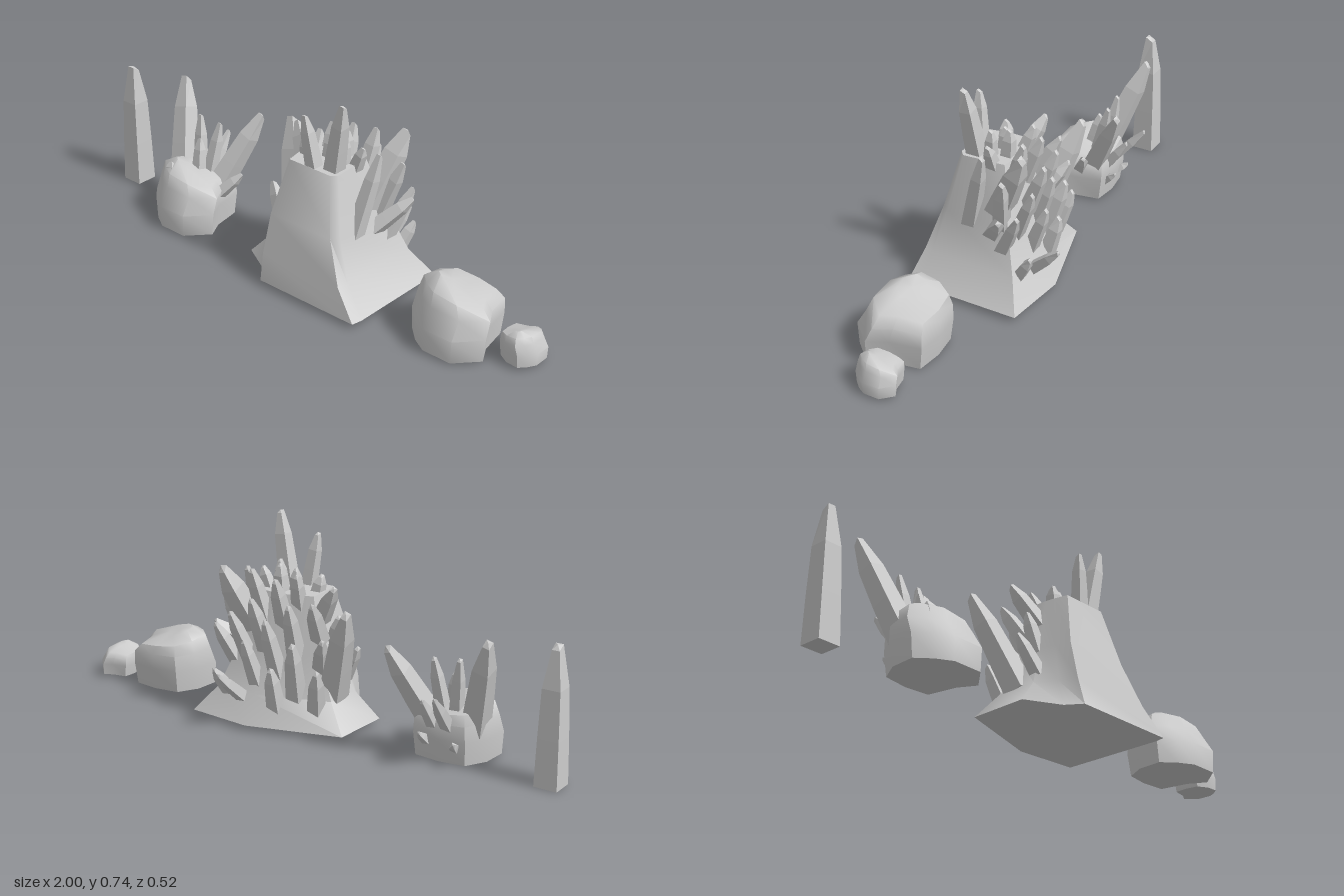
import * as THREE from 'three';
import { toCreasedNormals } from 'three/addons/utils/BufferGeometryUtils.js';

const crystalMat = new THREE.MeshStandardMaterial({ color: 0xcccccc, flatShading: true });
const rockMat = new THREE.MeshStandardMaterial({ color: 0xcccccc });

// Closed skin over rings of [x, y, z] points, listed clockwise from above, bottom ring first
function loft(name, rings, crease) {
  const n = rings[0].length, verts = rings.flat(2), index = [];
  rings.slice(1).forEach((_, r) => {
    for (let i = 0; i < n; i++) {
      const a = r * n + i, b = r * n + (i + 1) % n;
      index.push(a, a + n, b + n, a, b + n, b);
    }
  });
  const cap = (ring, first, up) => {
    const c = verts.length / 3;
    for (let k = 0; k < 3; k++) verts.push(ring.reduce((s, p) => s + p[k], 0) / n);
    for (let i = 0; i < n; i++) {
      const a = first + i, b = first + (i + 1) % n;
      index.push(c, up ? b : a, up ? a : b);
    }
  };
  cap(rings[0], 0, false);
  cap(rings.at(-1), (rings.length - 1) * n, true);
  const geo = new THREE.BufferGeometry();
  geo.setAttribute('position', new THREE.Float32BufferAttribute(verts, 3));
  geo.setIndex(index);
  const mesh = new THREE.Mesh(toCreasedNormals(geo, crease), rockMat);
  mesh.name = name;
  return mesh;
}

// Four-sided tapering shard from base to tip, with a small slanted end
function crystal(name, [bx, by, bz, tx, ty, tz, w]) {
  const base = new THREE.Vector3(bx, by, bz), dir = new THREE.Vector3(tx, ty, tz).sub(base);
  const len = dir.length();
  const geo = new THREE.CylinderGeometry(1, 1, len, 4, 3).rotateY(Math.PI / 4).translate(0, len / 2, 0);
  const p = geo.attributes.position;
  const widths = [1, 0.91, 0.78, 0.33];
  for (let i = 0; i < p.count; i++) {
    const level = Math.round(p.getY(i) / len * 3);
    const s = widths[level] * w / Math.SQRT2;
    const x = p.getX(i) * s, z = p.getZ(i) * s;
    const y = [0, 0.35, 0.7, 1][level] * len - (level === 3 ? Math.max(0, -z) * 1.2 : 0);
    p.setXYZ(i, x, y, z);
  }
  const mesh = new THREE.Mesh(geo, crystalMat);
  mesh.name = name;
  mesh.position.copy(base);
  mesh.quaternion.setFromUnitVectors(new THREE.Vector3(0, 1, 0), dir.normalize());
  return mesh;
}

function crystalGroup(name, list) {
  const g = new THREE.Group();
  g.name = name;
  list.forEach(c => g.add(crystal('crystal', c)));
  return g;
}

// Boulder: one footprint, narrowed, shifted and tilted level by level
const footprint = [[-0.1, -0.12], [0, -0.135], [0.1, -0.125], [0.12, -0.01], [0.157, 0.06],
  [0.08, 0.145], [-0.04, 0.145], [-0.1, 0.11], [-0.152, 0.06], [-0.145, -0.04]];
function boulder(name) {
  // height, x scale, z scale, x shift, z shift, tilt
  const levels = [[0.005, 0.96, 0.95, 0, 0.005, 0], [0.09, 1, 1, 0, 0, 0], [0.15, 0.97, 0.86, 0, -0.018, 0.4],
    [0.19, 0.8, 0.76, -0.01, -0.02, 1], [0.216, 0.35, 0.3, -0.03, -0.01, 1]];
  const rings = levels.map(([y, sx, sz, ox, oz, tilt]) => footprint.map(([x, z]) =>
    [x * sx + ox, y + tilt * (0.09 * z - 0.09 * x), z * sz + oz]));
  return loft(name, rings, 0.85);
}

export function createModel() {
  const model = new THREE.Group();
  model.name = 'crystalRocks';

  // Free-standing shard
  model.add(crystal('singleCrystal', [-0.958, 0, -0.01, -0.958, 0.49, -0.01, 0.085]));

  // Plain boulders
  const large = boulder('largeBoulder');
  large.position.set(0.698, 0, 0.06);
  const small = boulder('smallBoulder');
  small.scale.set(0.51, 0.5, 0.49);
  small.rotation.y = Math.PI / 2;
  small.position.set(0.928, 0.008, 0.008);
  model.add(large, small);

  // Boulder with crystals growing from its back
  const host = boulder('crystalBoulder');
  host.position.set(-0.557, 0, 0.065);
  model.add(host, crystalGroup('boulderCrystals', [
    [-0.65, 0.12, 0.03, -0.755, 0.48, -0.1, 0.078],
    [-0.5, 0.12, 0.0, -0.4, 0.41, -0.15, 0.07],
    [-0.59, 0.12, 0.0, -0.62, 0.38, -0.04, 0.042],
    [-0.54, 0.14, 0.01, -0.525, 0.37, -0.05, 0.042],
    [-0.58, 0.08, 0.0, -0.6, 0.27, -0.17, 0.04],
    [-0.53, 0.08, -0.01, -0.53, 0.24, -0.13, 0.04],
    [-0.56, 0.17, 0.04, -0.575, 0.31, 0.01, 0.04],
    [-0.47, 0.11, 0.04, -0.385, 0.21, -0.02, 0.04],
    [-0.51, 0.05, -0.03, -0.5, 0.11, -0.1, 0.03],
    [-0.61, 0.05, -0.03, -0.63, 0.09, -0.09, 0.03],
    [-0.62, 0.17, 0.12, -0.63, 0.23, 0.11, 0.045],
  ]));

  // Flared mound with a flat top
  const mound = [
    [0.02, [[-0.19, -0.1], [0.16, -0.205], [0.41, -0.185], [0.408, 0.22], [0.4, 0.26], [-0.03, 0.26], [-0.07, 0.2], [-0.2, 0.13]]],
    [0.12, [[-0.11, -0.05], [0.16, -0.145], [0.33, -0.13], [0.33, 0.2], [0.315, 0.237], [-0.037, 0.237], [-0.06, 0.17], [-0.11, 0.1]]],
    [0.27, [[-0.05, -0.03], [0.15, -0.1], [0.275, -0.08], [0.268, 0.172], [0.247, 0.2], [-0.03, 0.2], [-0.04, 0.14], [-0.055, 0.08]]],
    [0.48, [[0, 0], [0.12, -0.04], [0.21, -0.03], [0.222, 0.13], [0.2, 0.15], [0.015, 0.15], [0.005, 0.1], [0, 0.06]]],
  ];
  model.add(loft('mound', mound.map(([y, ring]) => ring.map(([x, z]) => [x, y, z])), 1));

  // Upright crystals on the flat top
  model.add(crystalGroup('topCrystals', [
    [0.175, 0.46, 0.1, 0.23, 0.74, 0.118, 0.056],
    [0.11, 0.46, 0.125, 0.083, 0.67, 0.147, 0.045],
    [0.04, 0.43, 0.07, 0.018, 0.54, 0.075, 0.045],
    [0.1, 0.45, 0.04, 0.1, 0.56, 0.03, 0.04],
    [0.17, 0.45, 0.05, 0.178, 0.58, 0.042, 0.04],
    [0.2, 0.45, 0.02, 0.24, 0.55, 0.02, 0.04],
    [0.14, 0.44, 0, 0.14, 0.58, -0.01, 0.045],
    [0.06, 0.42, 0, 0.04, 0.56, -0.05, 0.045],
  ]));

  // Crystals on the left flank
  model.add(crystalGroup('leftFlankCrystals', [
    [0.255, 0.23, 0.085, 0.3, 0.54, 0.005, 0.05],
    [0.23, 0.31, -0.02, 0.295, 0.575, -0.15, 0.08],
    [0.25, 0.25, -0.04, 0.33, 0.48, -0.09, 0.05],
    [0.265, 0.23, -0.01, 0.37, 0.35, -0.1, 0.05],
    [0.28, 0.18, -0.06, 0.33, 0.36, -0.15, 0.045],
  ]));

  // Crystals on the right flank
  model.add(crystalGroup('rightFlankCrystals', [
    [-0.08, 0.12, 0.01, -0.21, 0.48, -0.11, 0.08],
    [0.0, 0.38, 0.04, -0.1, 0.53, -0.02, 0.055],
    [-0.04, 0.26, 0.06, -0.08, 0.41, 0.04, 0.045],
    [-0.04, 0.21, -0.01, -0.11, 0.36, -0.11, 0.05],
    [-0.07, 0.16, 0.09, -0.15, 0.3, 0.06, 0.045],
    [-0.03, 0.32, 0.0, -0.06, 0.48, -0.1, 0.05],
  ]));

  // Crystals leaning out of the back
  model.add(crystalGroup('backCrystals', [
    [0.18, 0.37, -0.04, 0.2, 0.57, -0.1, 0.05],
    [0.1, 0.35, -0.03, 0.09, 0.55, -0.11, 0.05],
    [0.15, 0.28, -0.08, 0.16, 0.48, -0.16, 0.05],
    [0.04, 0.26, -0.05, 0.02, 0.47, -0.13, 0.05],
    [0.22, 0.22, -0.08, 0.25, 0.42, -0.165, 0.045],
    [0.1, 0.19, -0.08, 0.1, 0.41, -0.16, 0.05],
    [0.17, 0.15, -0.11, 0.18, 0.33, -0.18, 0.045],
    [0.02, 0.12, -0.08, -0.01, 0.34, -0.15, 0.055],
    [0.21, 0.08, -0.12, 0.235, 0.21, -0.26, 0.04],
    [0.08, 0.07, -0.12, 0.07, 0.24, -0.17, 0.05],
    [0.28, 0.09, -0.12, 0.31, 0.2, -0.19, 0.04],
    [-0.06, 0.07, -0.07, -0.1, 0.25, -0.13, 0.05],
  ]));
  return model;
}
